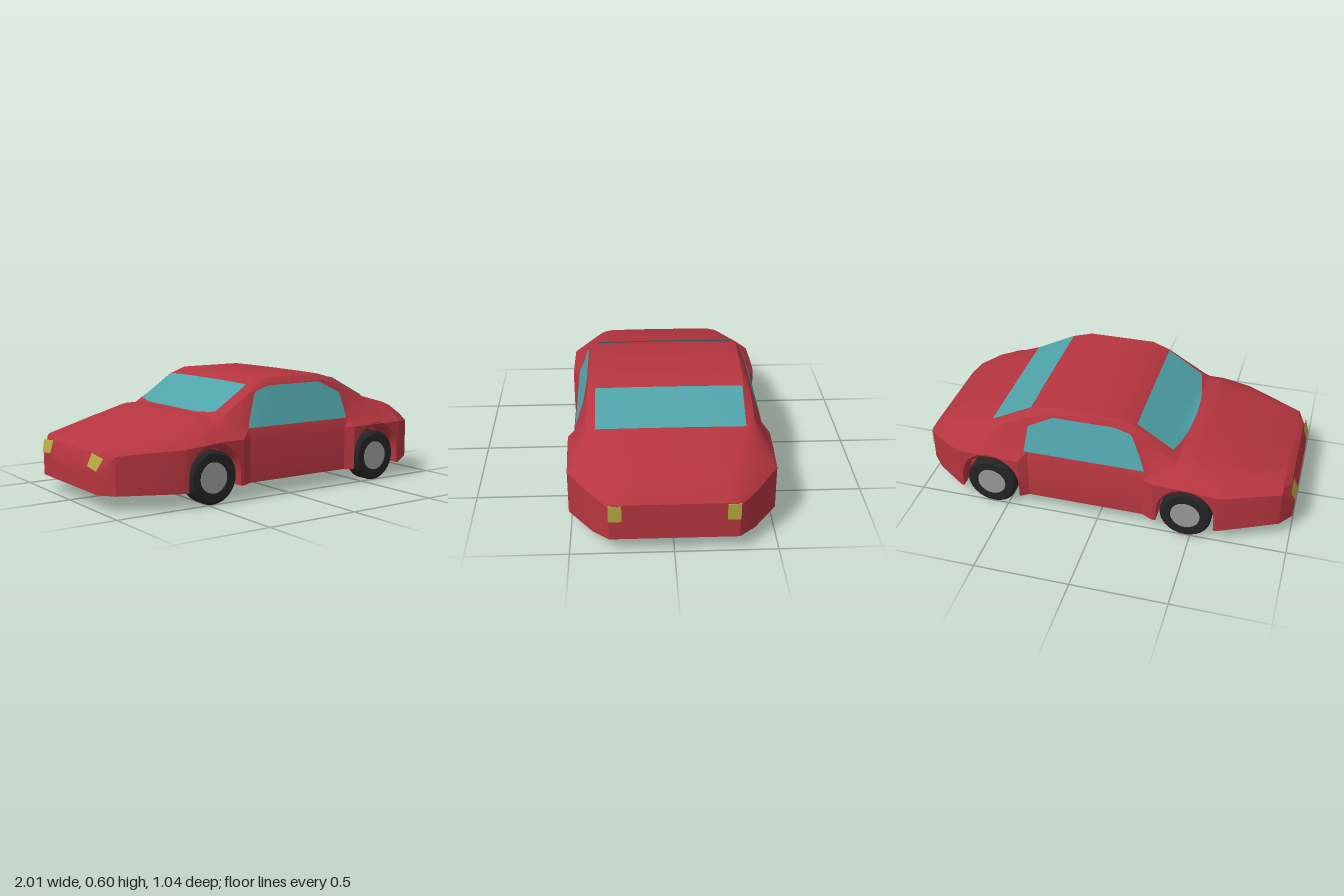
import * as THREE from 'three';
import { toCreasedNormals } from 'three/addons/utils/BufferGeometryUtils.js';

const paint = (color, side = THREE.FrontSide) => new THREE.MeshStandardMaterial({ color, side });
const RED = paint(0xb5353f), GLASS = paint(0x4fa3a9, THREE.DoubleSide), YELLOW = paint(0xb5a83f, THREE.DoubleSide);
const TYRE = paint(0x242424), RIM = paint(0x999999);
const FLOOR = 0.08, AXLE_Y = 0.135;
const WHEELS = [{ x: -0.47, r: 0.15 }, { x: 0.585, r: 0.16 }];
const lerp = THREE.MathUtils.lerp;

// Body rails along x: [x, value] or [x, z, y]
const SIDE_Z = [[-1, .30], [-.94, .38], [-.64, .52], [-.30, .52], [-.24, .49], [.38, .49], [.42, .52], [.76, .51], [.93, .39], [1, .31]];
const WAIST_Y = [[-1, .17], [-.94, .27], [-.4, .31], [.76, .31], [.93, .285], [1, .255]];
const BELT = [[-1, .30, .19], [-.94, .365, .28], [-.64, .47, .33], [-.48, .465, .365], [-.24, .475, .355],
  [.38, .475, .355], [.6, .46, .39], [.76, .45, .36], [.93, .37, .30], [1, .305, .26]];
const GUTTER = [[-1, .29, .205], [-.94, .34, .29], [-.64, .42, .352], [-.4, .42, .395], [-.18, .415, .53], [-.08, .41, .56],
  [.28, .41, .56], [.38, .415, .535], [.6, .42, .43], [.84, .35, .375], [.93, .33, .325], [1, .295, .265]];
const EDGE_Z = [[-1, .27], [-.94, .30], [-.64, .37], [-.08, .385], [.6, .375], [.84, .29], [1, .25]];
const CROWN = [[-1, 0], [-.64, .016], [-.4, .015], [-.18, .005], [1, 0]];
const TOP_Y = [[-1, .21], [-.975, .27], [-.94, .30], [-.64, .382], [-.48, .425], [-.4, .425], [-.18, .56], [-.08, .595],
  [.28, .595], [.38, .565], [.6, .45], [.84, .39], [.93, .35], [1, .27]];

// Values of a rail at x
function along(rail, x) {
  const i = THREE.MathUtils.clamp(rail.findIndex(p => p[0] >= x - 1e-6), 1, rail.length - 1);
  const a = rail[i - 1], b = rail[i];
  const t = THREE.MathUtils.clamp((x - a[0]) / (b[0] - a[0]), 0, 1);
  return a.slice(1).map((v, k) => lerp(v, b[k + 1], t));
}

// Half section as [z, y] points, from the middle of the floor round to the middle of the top
function halfSection(x, arch = FLOOR) {
  const [zs] = along(SIDE_Z, x), [yw] = along(WAIST_Y, x), [ze] = along(EDGE_Z, x);
  const [yt] = along(TOP_Y, x), [crown] = along(CROWN, x);
  const inArch = arch > FLOOR;
  const inner = Math.min(0.4, zs * 0.85);
  return [
    [0, FLOOR], [inner, FLOOR], [inner, arch], [zs - (inArch ? 0.015 : 0), arch],
    [zs, arch + (inArch ? 0.022 : 0.001)], [zs, yw], along(BELT, x), along(GUTTER, x),
    [ze, yt - crown], [ze * 0.6, yt - crown * 0.3], [0, yt],
  ];
}

// Find a coordinate on the upper half section (k: 0 gives z from y, 1 gives y from z)
function onSection(x, value, k) {
  const p = halfSection(x).slice(k ? 7 : 5);
  for (let i = 0; i < p.length - 1; i++) {
    const a = p[i][1 - k], b = p[i + 1][1 - k];
    if ((value - a) * (value - b) <= 0 && a !== b) return lerp(p[i][k], p[i + 1][k], (value - a) / (b - a));
  }
  return p[0][k];
}

function geometryFrom(positions, index) {
  const g = new THREE.BufferGeometry();
  g.setAttribute('position', new THREE.Float32BufferAttribute(positions, 3));
  g.setIndex(index);
  return g;
}

// Rectangular patch of points f(u, v)
function patch(f, nu, nv) {
  const pos = [], idx = [];
  for (let i = 0; i <= nu; i++) for (let j = 0; j <= nv; j++) {
    pos.push(...f(i / nu, j / nv));
    if (i < nu && j < nv) {
      const a = i * (nv + 1) + j, d = a + nv + 1;
      idx.push(a, d, d + 1, a, d + 1, a + 1);
    }
  }
  const g = geometryFrom(pos, idx);
  g.computeVertexNormals();
  return g;
}

function bodyGeometry() {
  // One section at every rail point that is clear of the wheels
  const rails = [SIDE_Z, WAIST_Y, BELT, GUTTER, EDGE_Z, CROWN, TOP_Y];
  const cuts = [...new Set(rails.flat().map(p => p[0]))]
    .filter(x => !WHEELS.some(w => Math.abs(x - w.x) < w.r + 0.005))
    .map(x => [x, FLOOR]);
  // Extra sections follow each wheel arch
  for (const { x, r } of WHEELS) {
    cuts.push([x - r - 0.001, FLOOR], [x + r + 0.001, FLOOR]);
    for (let i = 0; i <= 14; i++) {
      const t = Math.PI * (1 - i / 14);
      cuts.push([x + r * Math.cos(t), AXLE_Y + r * Math.sin(t)]);
    }
  }
  cuts.sort((a, b) => a[0] - b[0]);

  const pos = [], idx = [];
  let n = 0;
  for (const [x, arch] of cuts) {
    const half = halfSection(x, arch);
    const ring = [...half, ...half.slice(1, -1).reverse().map(([z, y]) => [-z, y])];
    n = ring.length;
    ring.forEach(([z, y]) => pos.push(x, y, z));
  }
  for (let i = 0; i < cuts.length - 1; i++) for (let j = 0; j < n; j++) {
    const a = i * n + j, b = i * n + (j + 1) % n;
    idx.push(a, a + n, b + n, a, b + n, b);
  }
  // Nose and tail faces
  const last = (cuts.length - 1) * n, c = cuts.length * n;
  pos.push(-1, 0.14, 0, 1, 0.17, 0);
  for (let j = 0; j < n; j++) {
    const k = (j + 1) % n;
    idx.push(c, j, k, c + 1, last + k, last + j);
  }
  return toCreasedNormals(geometryFrom(pos, idx), 0.45);
}

// Side window: straight sill, top edge follows the roof
const WINDOW_TOP = [[-.245, .358], [-.165, .53], [-.075, .555], [.255, .555], [.385, .49], [.40, .358]];
function sideWindow(sign) {
  return patch((u, v) => {
    const x = lerp(-.245, .40, u), y = lerp(.356, along(WINDOW_TOP, x)[0], v);
    return [x, y, sign * (onSection(x, y, 0) + 0.006)];
  }, 43, 4);
}

// Front or rear screen lying on the roof line, with an optional bowed lower edge
function screen(x0, x1, bow, halfWidth) {
  return patch((u, v) => {
    const s = v * 2 - 1, z = s * halfWidth;
    const x = lerp(x0, x1 + bow * s * s, u);
    return [x, onSection(x, Math.abs(z), 1) + 0.006, z];
  }, 10, 12);
}

export function createModel() {
  const car = new THREE.Group();
  car.name = 'car';
  const add = (name, geometry, material, parent = car) => {
    const mesh = new THREE.Mesh(geometry, material);
    mesh.name = name;
    parent.add(mesh);
    return mesh;
  };

  add('body', bodyGeometry(), RED);
  add('windshield', screen(-.18, -.42, .05, .367), GLASS);
  add('rearWindow', screen(.385, .605, 0, .372), GLASS);

  // Tyre profile (radius, width) turned about the axle
  const profile = [[0, 0], [.12, 0], [.135, .013], [.135, .082], [.122, .095], [.08, .095], [.078, .088], [0, .088]]
    .map(([r, w]) => new THREE.Vector2(r, w));
  const tyre = toCreasedNormals(new THREE.LatheGeometry(profile, 28), 0.5);
  const rim = new THREE.CylinderGeometry(.077, .077, .012, 28);

  for (const side of [1, -1]) {
    const label = side > 0 ? 'Left' : 'Right';
    add('sideWindow' + label, sideWindow(side), GLASS);

    // Lamps: front pair slopes with the nose, rear pair is flat
    add('headlight' + label, patch((u, v) => [
      lerp(-1.004, -.981, v), lerp(.207, .27, v) - .012 * u, side * lerp(lerp(.21, .22, v), lerp(.304, .338, v), u),
    ], 1, 1), YELLOW);
    add('taillight' + label, new THREE.BoxGeometry(.014, .085, .064), YELLOW)
      .position.set(.996, .222, side * .281);

    for (const { x } of WHEELS) {
      const wheel = new THREE.Group();
      wheel.name = (x < 0 ? 'frontWheel' : 'rearWheel') + label;
      wheel.position.set(x, AXLE_Y, side * .415);
      wheel.rotation.x = side * Math.PI / 2;
      add('tyre', tyre, TYRE, wheel);
      add('rim', rim, RIM, wheel).position.y = .086;
      car.add(wheel);
    }
  }
  return car;
}
